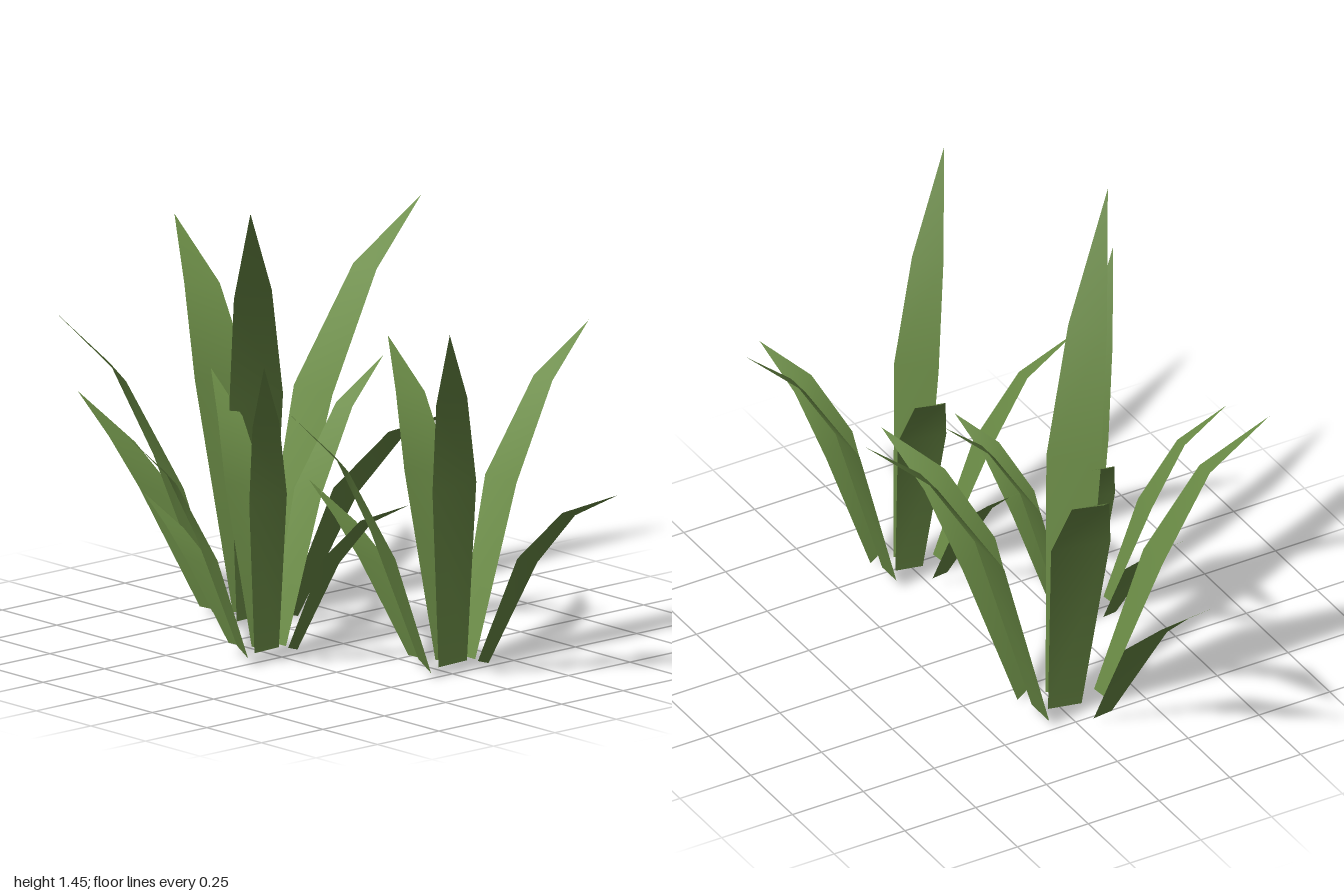
import * as THREE from 'three';

// Each blade: centre line from base to tip, direction across the blade, half widths at the first three stations
const BLADES = [
  { name: 'backBlade', path: [[-0.425, 0.01, -0.08], [-0.442, 0.66, -0.27], [-0.452, 1.01, -0.49], [-0.437, 1.2, -0.705]], side: [1, 0, 0], half: [0.053, 0.088, 0.053] },
  { name: 'rightBackBlade', path: [[-0.305, 0.015, -0.06], [-0.125, 0.43, -0.12], [0.04, 0.63, -0.18], [0.24, 0.73, -0.25]], side: [0.3, 0.3, 0.9], half: [0.042, 0.078, 0.05] },
  { name: 'tallFrontBlade', path: [[-0.375, 0.01, 0.03], [-0.225, 0.74, 0.155], [-0.105, 1.115, 0.275], [0.1, 1.44, 0.467]], side: [-0.5, -0.2, 0.84], half: [0.055, 0.085, 0.06] },
  { name: 'frontBlade', path: [[-0.42, 0.01, 0.13], [-0.48, 0.49, 0.285], [-0.56, 0.81, 0.42], [-0.668, 1.01, 0.585]], side: [0.92, -0.33, 0.2], half: [0.052, 0.1, 0.054] },
  { name: 'leftBlade', path: [[-0.535, 0.015, 0.075], [-0.7, 0.36, 0.13], [-0.845, 0.5, 0.15], [-0.998, 0.63, 0.195]], side: [-0.25, 0.3, 0.9], half: [0.03, 0.07, 0.047] },
  { name: 'leftBackBlade', path: [[-0.43, 0.01, 0.003], [-0.59, 0.7, -0.035], [-0.76, 0.965, -0.1], [-0.982, 1.125, -0.185]], side: [-0.36, 0.1, 0.92], half: [0.052, 0.092, 0.058] },
];

// Tapering ribbon: three pairs of edge points and a pointed tip
function bladeGeometry({ path, side, half }) {
  const across = new THREE.Vector3(...side).normalize();
  const points = path.map((p) => new THREE.Vector3(...p));
  const corners = [];
  half.forEach((w, i) => {
    corners.push(points[i].clone().addScaledVector(across, -w), points[i].clone().addScaledVector(across, w));
  });
  corners.push(points[3]);
  const index = [];
  for (let i = 0; i < 4; i += 2) index.push(i, i + 1, i + 3, i, i + 3, i + 2);
  index.push(4, 5, 6);
  const geometry = new THREE.BufferGeometry().setFromPoints(corners);
  geometry.setIndex(index);
  geometry.computeVertexNormals();
  return geometry;
}

export function createModel() {
  const model = new THREE.Group();
  model.name = 'grassClumps';
  const green = new THREE.MeshStandardMaterial({ color: 0x6b8c46, side: THREE.DoubleSide });
  green.name = 'leaf green';
  const blades = BLADES.map((b) => ({ name: b.name, geometry: bladeGeometry(b) }));

  // Three clumps of the same plant at different sizes
  const clumps = [
    ['largeClump', 1, [0, 0, 0]],
    ['mediumClump', 0.815, [0.797, 0.013, -0.033]],
    ['smallClump', 0.7, [0.278, 0.023, 0.305]],
  ];
  for (const [name, scale, position] of clumps) {
    const clump = new THREE.Group();
    clump.name = name;
    for (const blade of blades) {
      const mesh = new THREE.Mesh(blade.geometry, green);
      mesh.name = blade.name;
      clump.add(mesh);
    }
    clump.scale.setScalar(scale);
    clump.position.set(...position);
    model.add(clump);
  }
  return model;
}
